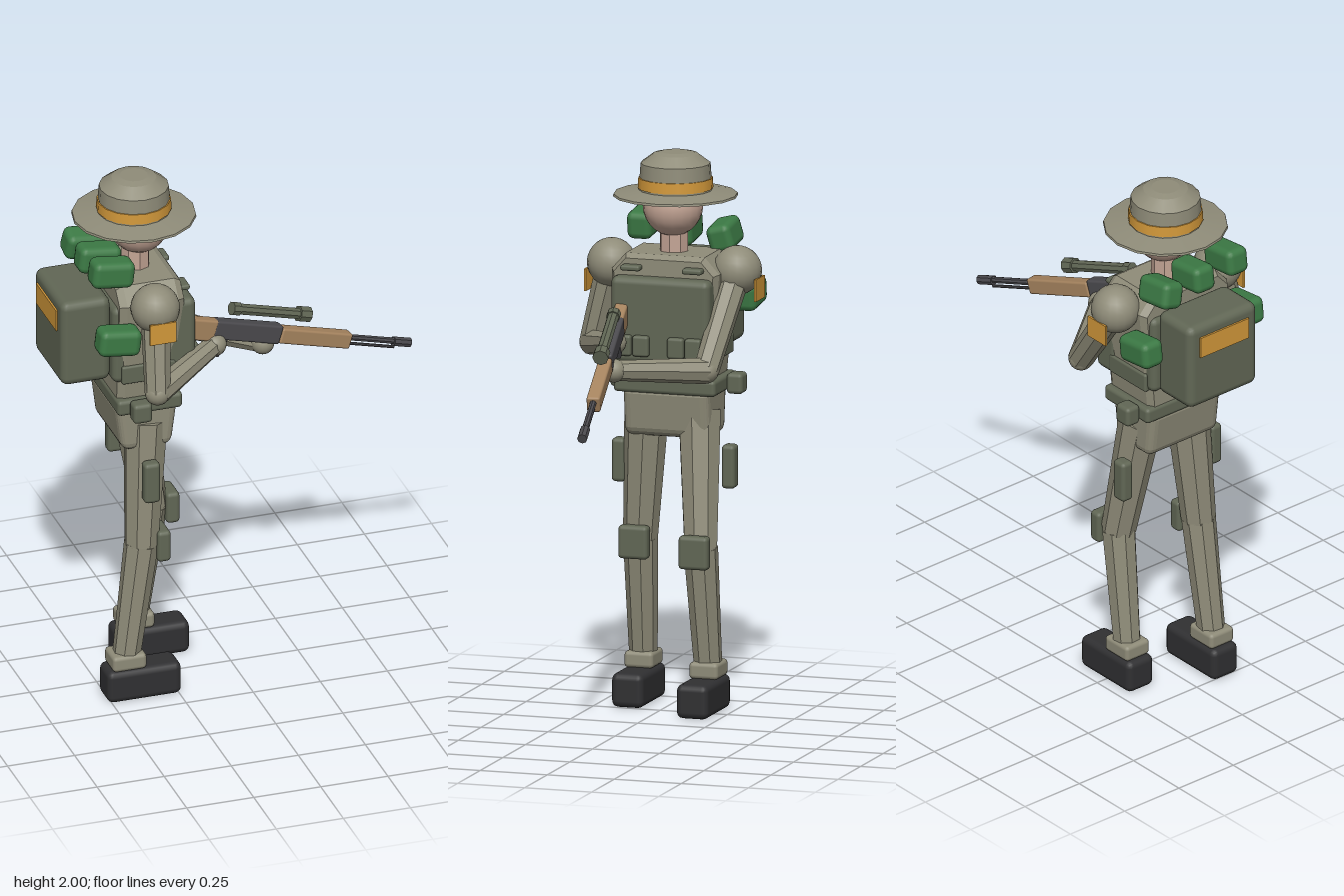
import * as THREE from 'three';
import { RoundedBoxGeometry } from 'three/addons/geometries/RoundedBoxGeometry.js';

const V = (x, y, z) => new THREE.Vector3(x, y, z);
const MID = -0.018; // body centre plane in z

export function createModel() {
  const root = new THREE.Group();
  const mat = (name, color) => {
    const m = new THREE.MeshStandardMaterial({ color });
    m.name = name;
    return m;
  };
  const cloth = mat('cloth', 0x8f8c79);
  const gear = mat('gear', 0x616755);
  const skin = mat('skin', 0xc4a595);
  const orange = mat('orange', 0xd2983a);
  const green = mat('green', 0x3c7a45);
  const boot = mat('boot', 0x303032);
  const metal = mat('metal', 0x4b4a4e);
  const wood = mat('wood', 0xa6845f);

  const add = (name, geo, material, pos = [0, 0, 0], parent = root) => {
    const m = new THREE.Mesh(geo, material);
    m.name = name;
    m.position.set(...pos);
    parent.add(m);
    return m;
  };
  const faceted = (geo) => {
    const g = geo.toNonIndexed();
    g.computeVertexNormals();
    return g;
  };
  // Chamfered box given by its extents
  const block = (name, material, x0, x1, y0, y1, z0, z1, r = 0.015, parent = root) =>
    add(name, new RoundedBoxGeometry(x1 - x0, y1 - y0, z1 - z0, 2, r), material,
      [(x0 + x1) / 2, (y0 + y1) / 2, (z0 + z1) / 2], parent);
  // Eight-sided tapered limb between two points
  const limb = (name, a, b, ra, rb, material = cloth) => {
    const d = b.clone().sub(a);
    const m = add(name, faceted(new THREE.CylinderGeometry(rb, ra, d.length(), 8)), material,
      a.clone().add(b).multiplyScalar(0.5).toArray());
    m.quaternion.setFromUnitVectors(V(0, 1, 0), d.normalize());
    return m;
  };
  const ball = (name, p, r, material = cloth) =>
    add(name, new THREE.SphereGeometry(r, 20, 14), material, p.toArray());

  // Head and neck
  ball('head', V(-0.337, 1.808, MID), 0.107, skin);
  limb('neck', V(-0.35, 1.62, MID), V(-0.35, 1.76, MID), 0.052, 0.052, skin);

  // Hat: brim, crown tiers and band
  const hat = new THREE.Group();
  hat.name = 'hat';
  hat.position.set(-0.354, 0, MID - 0.004);
  root.add(hat);
  const tier = (name, rTop, rBottom, y0, y1, material = cloth) =>
    add(name, new THREE.CylinderGeometry(rTop, rBottom, y1 - y0, 16), material, [0, (y0 + y1) / 2, 0], hat);
  tier('brimEdge', 0.22, 0.222, 1.842, 1.85);
  tier('brimTop', 0.13, 0.22, 1.85, 1.864);
  tier('crown', 0.124, 0.131, 1.86, 1.96);
  tier('crownShoulder', 0.08, 0.124, 1.96, 1.993);
  tier('crownTop', 0.05, 0.08, 1.993, 2.0);
  tier('hatBand', 0.132, 0.134, 1.87, 1.908, orange);

  // Torso with sloped shoulders
  const s = new THREE.Shape();
  [[-0.15, 1.2], [0.15, 1.2], [0.185, 1.58], [0.14, 1.63], [-0.14, 1.63], [-0.185, 1.58]]
    .forEach(([x, y], i) => (i ? s.lineTo(x, y) : s.moveTo(x, y)));
  const torso = add('torso', new THREE.ExtrudeGeometry(s, {
    depth: 0.19, bevelEnabled: true, bevelSize: 0.015, bevelThickness: 0.025, bevelSegments: 1,
  }), cloth, [-0.445, 0, MID]);
  torso.rotation.y = Math.PI / 2;

  // Vest, chest pouches and buckles
  block('chestPlate', gear, -0.29, -0.182, 1.26, 1.57, MID - 0.185, MID + 0.185, 0.025);
  block('backPlate', gear, -0.49, -0.43, 1.27, 1.57, MID - 0.175, MID + 0.175, 0.025);
  for (const z of [-0.13, -0.065, 0.065, 0.13])
    block('chestPouch', gear, -0.2, -0.16, 1.29, 1.365, MID + z - 0.03, MID + z + 0.03, 0.01);
  for (const side of [1, -1]) {
    block('buckle', gear, -0.25, -0.195, 1.59, 1.61, MID + side * 0.115 - 0.036, MID + side * 0.115 + 0.036, 0.008);
    block('sideStrap', gear, -0.46, -0.26, 1.27, 1.34, MID + side * 0.175 - 0.012, MID + side * 0.175 + 0.012, 0.008);
  }

  // Belt, belt pouches and pelvis
  block('belt', gear, -0.477, -0.235, 1.145, 1.205, MID - 0.19, MID + 0.19, 0.015);
  for (const side of [1, -1]) {
    const z = MID + side * 0.217;
    block('beltPouch', gear, -0.436, -0.366, 1.135, 1.21, z - 0.03, z + 0.03);
  }
  const pelvis = block('pelvis', cloth, -0.47, -0.243, 0.985, 1.17, MID - 0.16, MID + 0.16, 0.03);
  const pp = pelvis.geometry.attributes.position;
  for (let i = 0; i < pp.count; i++) {
    const k = 1 - 0.22 * Math.max(0, -pp.getY(i) / 0.0925);
    pp.setX(i, pp.getX(i) * k);
  }
  pelvis.geometry.computeVertexNormals();

  // Legs: one set back, one forward
  const leg = (side, hipX, kneeX, ankleX, footX) => {
    const z = (d) => MID + side * d;
    const hip = V(hipX, 1.08, z(0.1)), knee = V(kneeX, 0.6, z(0.133)), ankle = V(ankleX, 0.15, z(0.142));
    limb('thigh', hip, knee, 0.08, 0.062);
    limb('shin', knee, ankle, 0.062, 0.05);
    ball('knee', knee, 0.058);
    block('kneePad', gear, kneeX + 0.045, kneeX + 0.095, 0.535, 0.655, z(0.133) - 0.055, z(0.133) + 0.055);
    block('thighPouch', gear, -0.39, -0.33, 0.8, 0.957, z(0.205) - 0.025, z(0.205) + 0.025);
    block('bootCuff', cloth, ankleX - 0.063, ankleX + 0.063, 0.125, 0.185, z(0.142) - 0.054, z(0.142) + 0.054);
    block('boot', boot, footX, footX + 0.275, 0.005, 0.128, z(0.142) - 0.059, z(0.142) + 0.059, 0.024);
  };
  leg(1, -0.345, -0.372, -0.433, -0.516);
  leg(-1, -0.335, -0.25, -0.308, -0.39);

  // Arms holding the rifle
  const arm = (side, elbow, hand) => {
    const shoulder = V(-0.354, 1.587, MID + side * 0.234);
    ball('shoulder', shoulder, 0.088);
    limb('upperArm', shoulder, elbow, 0.053, 0.046);
    ball('elbow', elbow, 0.045);
    limb('forearm', elbow, hand, 0.047, 0.036);
    ball('hand', hand, 0.042);
    add('armBand', new THREE.BoxGeometry(0.098, 0.08, 0.008), orange, [-0.353, 1.526, MID + side * 0.317]);
  };
  arm(1, V(-0.372, 1.29, 0.295), V(-0.1, 1.35, 0.12));
  arm(-1, V(-0.12, 1.265, -0.215), V(0.1, 1.29, 0.055));

  // Backpack with rear panel and rolled pouches
  block('backpack', gear, -0.675, -0.49, 1.28, 1.61, -0.178, 0.138, 0.03);
  add('backpackPanel', new THREE.BoxGeometry(0.008, 0.08, 0.222), orange, [-0.678, 1.526, -0.022]);
  const pouches = [[1.715, 0.14, 0], [1.7, -0.012, 0], [1.685, -0.16, 0.25], [1.48, 0.215, 0], [1.48, -0.25, 0]];
  for (const [y, z, tilt] of pouches) {
    const p = block('greenPouch', green, -0.57, -0.415, y - 0.05, y + 0.05, z - 0.046, z + 0.046, 0.025);
    p.rotation.set(tilt, 0, -0.12);
  }

  // Rifle, built along local x with the muzzle at the origin
  const rifle = new THREE.Group();
  rifle.name = 'rifle';
  const ax = V(1, -0.333, -0.167).normalize();
  const az = ax.clone().cross(V(0, 1, 0)).normalize();
  rifle.quaternion.setFromRotationMatrix(new THREE.Matrix4().makeBasis(ax, az.clone().cross(ax), az));
  rifle.position.set(0.672, 1.152, -0.02);
  root.add(rifle);
  const part = (name, m, u0, u1, y, h, w) => block(name, m, u0, u1, y - h / 2, y + h / 2, -w / 2, w / 2, 0.008, rifle);
  const rod = (name, m, u0, u1, y, r) => {
    const g = faceted(new THREE.CylinderGeometry(r, r, u1 - u0, 8)).rotateZ(Math.PI / 2);
    return add(name, g, m, [(u0 + u1) / 2, y, 0], rifle);
  };
  part('stock', wood, -0.96, -0.82, -0.005, 0.08, 0.045);
  part('receiver', metal, -0.83, -0.55, 0, 0.07, 0.048);
  part('foregrip', wood, -0.55, -0.255, -0.003, 0.058, 0.048);
  part('pistolGrip', metal, -0.8, -0.765, -0.065, 0.08, 0.03).rotation.z = -0.25;
  rod('barrel', metal, -0.27, -0.01, 0.005, 0.012);
  rod('cleaningRod', metal, -0.27, -0.06, -0.018, 0.006);
  rod('muzzle', metal, -0.07, 0, 0.003, 0.018);
  rod('scope', gear, -0.77, -0.46, 0.08, 0.021);
  rod('scopeLens', gear, -0.495, -0.45, 0.08, 0.029);
  rod('scopeEyepiece', gear, -0.775, -0.745, 0.08, 0.025);

  return root;
}
